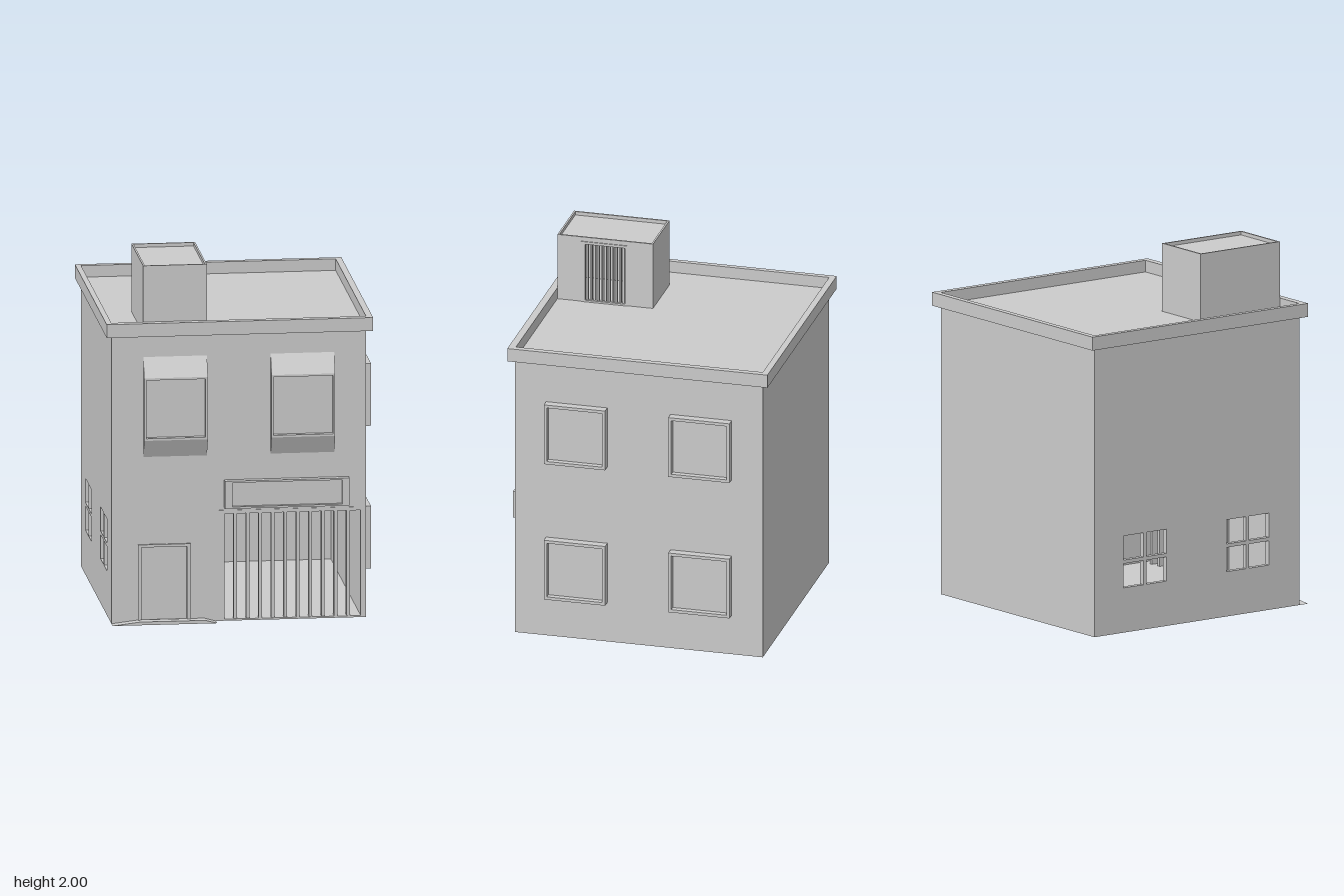
import * as THREE from 'three';

const material = new THREE.MeshStandardMaterial({ color: 0xcccccc, flatShading: true });

export function createModel() {
  const model = new THREE.Group();
  model.name = 'townHouse';

  const add = (name, geometry) => {
    const mesh = new THREE.Mesh(geometry, material);
    mesh.name = name;
    model.add(mesh);
    return mesh;
  };

  const box = (name, x0, x1, y0, y1, z0, z1) =>
    add(name, new THREE.BoxGeometry(x1 - x0, y1 - y0, z1 - z0)
      .translate((x0 + x1) / 2, (y0 + y1) / 2, (z0 + z1) / 2));

  const outline = (path, [u0, u1, v0, v1]) => {
    path.moveTo(u0, v0);
    path.lineTo(u1, v0);
    path.lineTo(u1, v1);
    path.lineTo(u0, v1);
    path.closePath();
    return path;
  };

  // Upright panel with rectangular holes, from depth d0 to d1 along its facing.
  // Rectangles are [u0, u1, v0, v1]; u is x (front), -z (right side), z (left side).
  const turns = { front: 0, right: Math.PI / 2, left: -Math.PI / 2 };
  const panel = (name, side, rect, holes, d0, d1) => {
    const shape = outline(new THREE.Shape(), rect);
    holes.forEach((h) => shape.holes.push(outline(new THREE.Path(), h)));
    const geometry = new THREE.ExtrudeGeometry(shape, { depth: d1 - d0, bevelEnabled: false });
    return add(name, geometry.translate(0, 0, d0).rotateY(turns[side]));
  };

  // Flat rim around an open top
  const rim = (name, x0, x1, z0, z1, y0, y1, hole) => {
    const shape = outline(new THREE.Shape(), [x0, x1, -z1, -z0]);
    shape.holes.push(outline(new THREE.Path(), [hole[0], hole[1], -hole[3], -hole[2]]));
    add(name, new THREE.ExtrudeGeometry(shape, { depth: y1 - y0, bevelEnabled: false })
      .rotateX(-Math.PI / 2).translate(0, y0, 0));
  };

  const inset = ([a, b, c, d], t) => [a + t, b - t, c + t, d - t];

  // Hollow body: floor, ceiling, walls
  box('floor', -0.71, 0.69, 0, 0.01, -0.71, 0.69);
  box('ceiling', -0.68, 0.66, 0.78, 0.8, -0.68, 0.66);
  box('backWall', -0.71, 0.69, 0.01, 1.61, -0.71, -0.68);
  box('rightWall', 0.66, 0.69, 0.01, 1.61, -0.68, 0.66);

  const opening = [-0.105, 0.66, 0.01, 0.6];
  const doorway = [-0.545, -0.295, 0.015, 0.425];
  panel('frontWall', 'front', [-0.71, 0.69, 0.01, 1.61], [opening, doorway], 0.66, 0.69);

  // Left wall with two four-pane windows
  const panes = [];
  for (const z of [-0.365, 0.335]) {
    for (const dz of [-0.145, 0.01]) {
      for (const y of [0.25, 0.405]) panes.push([z + dz, z + dz + 0.135, y, y + 0.135]);
    }
  }
  panel('leftWall', 'left', [-0.68, 0.66, 0.01, 1.61], panes, 0.68, 0.71);

  // Roof deck and parapet
  box('roofDeck', -0.71, 0.69, 1.59, 1.62, -0.71, 0.69);
  rim('parapet', -0.74, 0.725, -0.745, 0.725, 1.61, 1.685, [-0.71, 0.69, -0.71, 0.685]);

  // Framed windows on the right side
  for (const u of [-0.515, 0.188]) {
    for (const y of [0.23, 1.03]) {
      const rect = [u, u + 0.346, y, y + 0.35];
      panel('sideWindowFrame', 'right', rect, [inset(rect, 0.017)], 0.69, 0.738);
      panel('sideWindowGlass', 'right', inset(rect, 0.017), [], 0.69, 0.705);
    }
  }

  // Front bay windows with sloped hood and sill
  const wedge = (name, x0, x1, yWall, yFront) => {
    const points = [[-0.69, yFront], [-0.69, yWall], [-0.735, yFront]]
      .map(([u, v]) => new THREE.Vector2(u, v));
    const geometry = new THREE.ExtrudeGeometry(new THREE.Shape(points), { depth: x1 - x0, bevelEnabled: false });
    add(name, geometry.rotateY(Math.PI / 2).translate(x0, 0, 0));
  };
  for (const x of [-0.535, 0.165]) {
    const rect = [x, x + 0.35, 1.03, 1.38];
    panel('bayWindowFrame', 'front', rect, [inset(rect, 0.012)], 0.69, 0.735);
    panel('bayWindowGlass', 'front', inset(rect, 0.012), [], 0.69, 0.705);
    wedge('bayHood', x, x + 0.35, 1.49, 1.38);
    wedge('baySill', x, x + 0.35, 0.93, 1.03);
  }

  // Blank sign board above the opening
  panel('signFrame', 'front', [-0.09, 0.595, 0.635, 0.79], [[-0.05, 0.555, 0.645, 0.78]], 0.69, 0.727);
  panel('signBoard', 'front', [-0.05, 0.555, 0.645, 0.78], [], 0.69, 0.705);

  // Barred shop opening
  panel('openingFrame', 'front', [-0.125, 0.685, 0.01, 0.62], [opening], 0.688, 0.693);
  for (let i = 0; i < 11; i++) {
    const x = -0.098 + i * 0.069;
    box('openingBar', x - 0.009, x + 0.009, 0.01, 0.6, 0.65, 0.687);
  }

  // Front door and step
  panel('doorFrame', 'front', [-0.565, -0.275, 0.005, 0.44], [doorway], 0.69, 0.701);
  box('door', -0.545, -0.295, 0.015, 0.425, 0.66, 0.675);
  const stepShape = new THREE.Shape([[-0.71, 0], [-0.135, 0], [-0.2, 0.018], [-0.56, 0.018]]
    .map(([x, y]) => new THREE.Vector2(x, y)));
  add('doorStep', new THREE.ExtrudeGeometry(stepShape, { depth: 0.055, bevelEnabled: false }).translate(0, 0, 0.69));

  // Rooftop stair hut with a barred doorway
  const hutDoor = [-0.527, -0.302, 1.63, 1.96];
  box('hutLeftWall', -0.535, -0.52, 1.62, 1.975, 0.145, 0.685);
  box('hutBackWall', -0.52, -0.2, 1.62, 1.975, 0.145, 0.16);
  box('hutFrontWall', -0.52, -0.2, 1.62, 1.975, 0.67, 0.685);
  panel('hutRightWall', 'right', [-0.685, -0.145, 1.62, 1.975], [hutDoor], -0.2, -0.185);
  box('hutRoof', -0.525, -0.195, 1.965, 1.98, 0.155, 0.675);
  rim('hutParapet', -0.535, -0.185, 0.145, 0.685, 1.975, 2, [-0.525, -0.195, 0.155, 0.675]);
  panel('hutDoorFrame', 'right', [-0.55, -0.285, 1.62, 1.975], [hutDoor], -0.187, -0.18);
  for (let i = 0; i < 11; i++) {
    const z = 0.312 + i * 0.0205;
    box('hutDoorBar', -0.21, -0.188, 1.63, 1.96, z - 0.005, z + 0.005);
  }

  return model;
}
